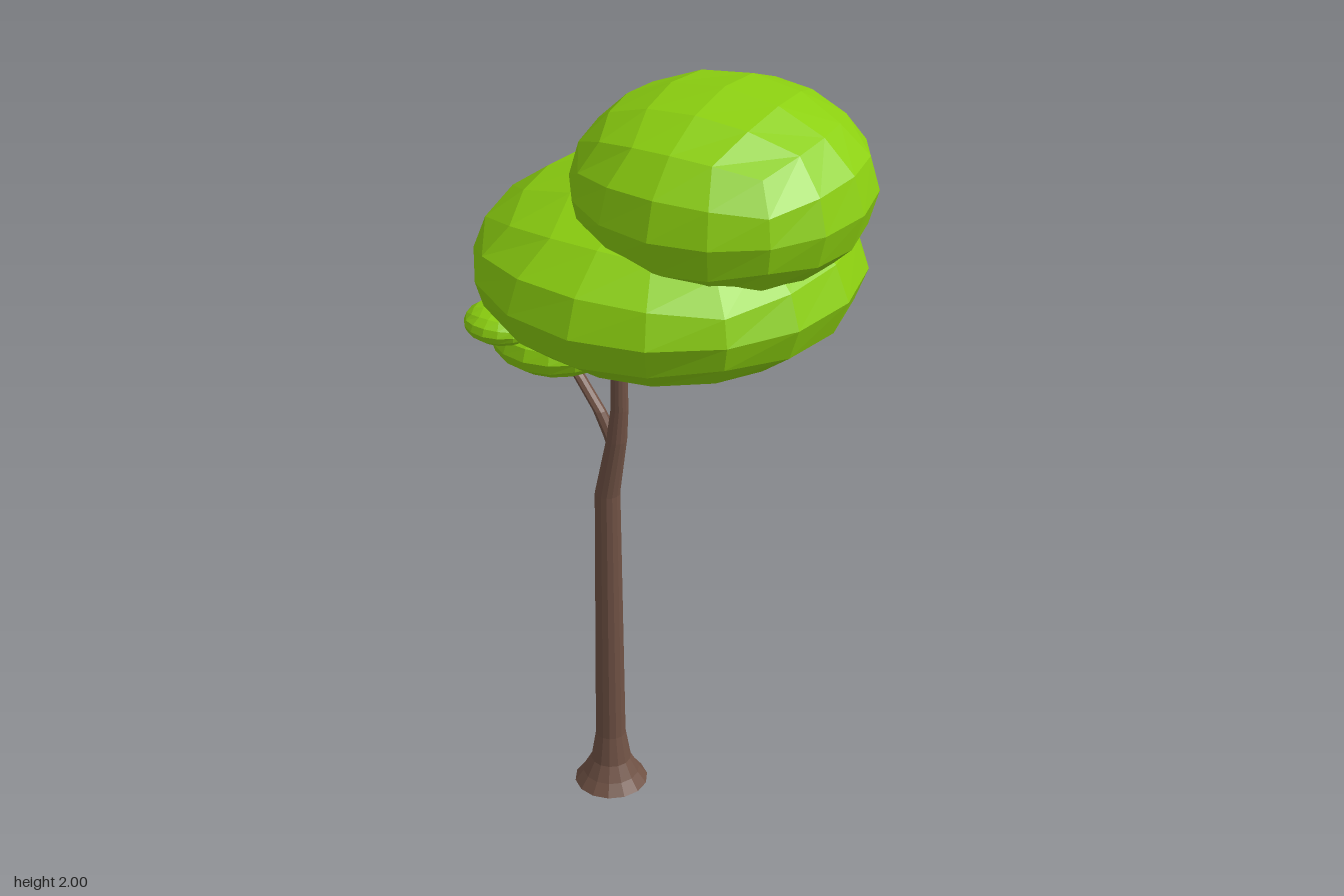
import * as THREE from 'three';

const leaf = new THREE.MeshStandardMaterial({ color: 0x8cd010, flatShading: true });
const bark = new THREE.MeshStandardMaterial({ color: 0x705245, flatShading: true });

// Cube with evenly spaced angles pushed out onto an ellipsoid
function foliage(name, x, y, z, radius, height) {
  const geo = new THREE.BoxGeometry(2, 2, 2, 4, 4, 4);
  const pos = geo.attributes.position;
  const v = new THREE.Vector3();
  for (let i = 0; i < pos.count; i++) {
    v.fromBufferAttribute(pos, i);
    v.set(...v.toArray().map((c) => Math.tan((c * Math.PI) / 4))).normalize();
    pos.setXYZ(i, v.x * radius, v.y * height, v.z * radius);
  }
  geo.computeVertexNormals();
  const mesh = new THREE.Mesh(geo, leaf);
  mesh.name = name;
  mesh.position.set(x, y, z);
  return mesh;
}

// Closed limb through horizontal rings [x, y, z, radius], listed top to bottom
function limb(name, rings, sides) {
  const last = rings.length - 1;
  const geo = new THREE.CylinderGeometry(1, 1, 1, sides, last);
  const pos = geo.attributes.position;
  for (let i = 0; i < pos.count; i++) {
    const [x, y, z, r] = rings[Math.round((0.5 - pos.getY(i)) * last)];
    pos.setXYZ(i, x + pos.getX(i) * r, y, z + pos.getZ(i) * r);
  }
  geo.computeVertexNormals();
  const mesh = new THREE.Mesh(geo, bark);
  mesh.name = name;
  return mesh;
}

export function createModel() {
  const tree = new THREE.Group();
  tree.name = 'tree';

  // Trunk with flared foot and a bend near the top
  tree.add(limb('trunk', [
    [-0.108, 1.42, 0.055, 0.018],
    [-0.108, 1.3, 0.055, 0.019],
    [-0.108, 1.13, 0.055, 0.022],
    [-0.117, 1.04, 0.055, 0.026],
    [-0.145, 0.88, 0.055, 0.032],
    [-0.145, 0.15, 0.055, 0.039],
    [-0.145, 0.07, 0.055, 0.052],
    [-0.145, 0.03, 0.055, 0.073],
    [-0.145, 0, 0.055, 0.095],
  ], 14));

  // Side branch
  tree.add(limb('branch', [
    [-0.27, 1.23, 0.04, 0.014],
    [-0.225, 1.185, 0.047, 0.015],
    [-0.165, 1.11, 0.055, 0.016],
    [-0.135, 1.05, 0.055, 0.018],
    [-0.12, 1.0, 0.055, 0.016],
  ], 8));

  // Foliage
  tree.add(foliage('mainCrown', 0, 1.54, 0, 0.465, 0.228));
  tree.add(foliage('topCrown', 0.14, 1.765, 0, 0.355, 0.235));
  tree.add(foliage('branchFoliage', -0.31, 1.255, 0, 0.166, 0.08));
  tree.add(foliage('branchFoliageTuft', -0.402, 1.315, 0.1, 0.098, 0.047));

  return tree;
}
